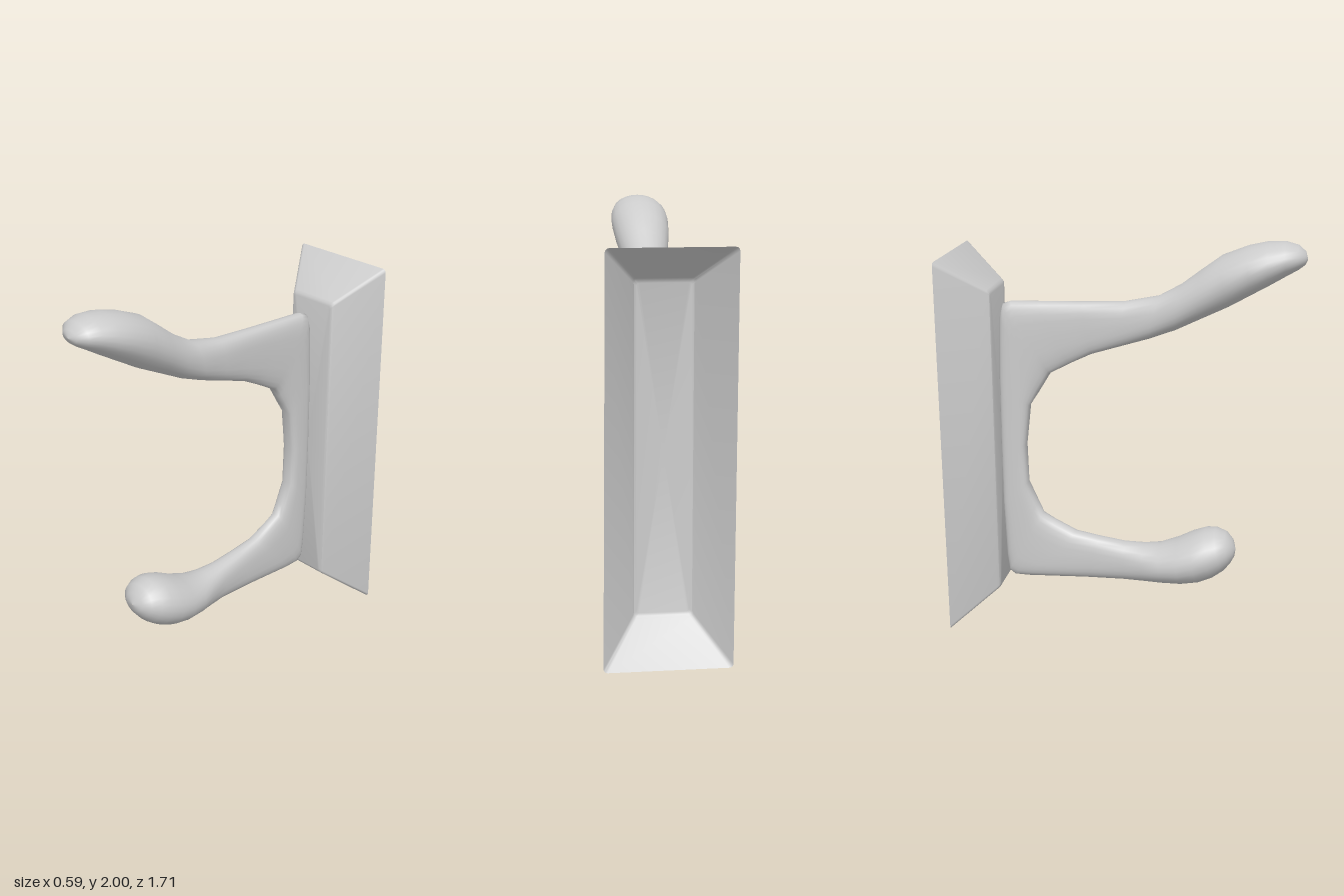
import * as THREE from 'three';
import { toCreasedNormals } from 'three/addons/utils/BufferGeometryUtils.js';

// Joins equal-length rings of [x, y, z] points into an indexed surface
function loft(rings) {
  const n = rings[0].length, index = [];
  for (let i = 0; i < rings.length - 1; i++) {
    for (let j = 0; j < n; j++) {
      const k = (j + 1) % n, a = i * n + j, b = i * n + k;
      index.push(a, b, a + n, b, b + n, a + n);
    }
  }
  const g = new THREE.BufferGeometry();
  g.setAttribute('position', new THREE.Float32BufferAttribute(rings.flat(2), 3));
  g.setIndex(index);
  g.computeVertexNormals();
  return g;
}

// Hook sections: outer z, y, inner z, y, half width, squareness
const UPPER = [
  [0.855, 1.921, 0.855, 1.919, 0.002, 2],
  [0.845, 1.955, 0.845, 1.895, 0.05, 2],
  [0.81, 1.983, 0.815, 1.872, 0.095, 2],
  [0.75, 1.998, 0.765, 1.843, 0.125, 2],
  [0.67, 1.994, 0.69, 1.797, 0.144, 2],
  [0.58, 1.973, 0.61, 1.75, 0.148, 2],
  [0.46, 1.925, 0.5, 1.685, 0.138, 2],
  [0.36, 1.85, 0.37, 1.62, 0.118, 2],
  [0.27, 1.78, 0.25, 1.56, 0.098, 2.1],
  [0.165, 1.72, 0.12, 1.51, 0.076, 2.3],
  [0, 1.685, -0.02, 1.465, 0.06, 2.6],
  [-0.2, 1.675, -0.16, 1.42, 0.052, 3]
];
const SPINE = [
  [-0.42, 1.668, -0.27, 1.365, 0.05, 3],
  [-0.56, 1.664, -0.37, 1.31, 0.05, 3],
  [-0.6, 1.65, -0.4, 1.26, 0.05, 3],
  [-0.615, 1.59, -0.43, 1.21, 0.05, 3],
  [-0.625, 1.3, -0.475, 1.14, 0.05, 3],
  [-0.626, 0.93, -0.5, 0.93, 0.05, 3],
  [-0.625, 0.62, -0.495, 0.73, 0.05, 3],
  [-0.615, 0.32, -0.445, 0.62, 0.05, 3],
  [-0.605, 0.235, -0.42, 0.565, 0.05, 3],
  [-0.575, 0.212, -0.36, 0.53, 0.05, 3],
  [-0.5, 0.212, -0.25, 0.475, 0.052, 3]
];
const LOWER = [
  [-0.2, 0.228, -0.13, 0.453, 0.058, 2.7],
  [0, 0.234, 0, 0.434, 0.07, 2.4],
  [0.1, 0.237, 0.1, 0.43, 0.096, 2.2],
  [0.2, 0.239, 0.18, 0.438, 0.128, 2],
  [0.3, 0.245, 0.27, 0.472, 0.152, 2],
  [0.39, 0.262, 0.34, 0.51, 0.16, 2],
  [0.46, 0.293, 0.41, 0.537, 0.153, 2],
  [0.51, 0.33, 0.46, 0.54, 0.135, 2],
  [0.542, 0.37, 0.51, 0.524, 0.105, 2],
  [0.56, 0.405, 0.545, 0.49, 0.06, 2],
  [0.564, 0.439, 0.564, 0.441, 0.002, 2]
];

const SIDES = 24, HOOK_X = -0.018;
function hookRing([oz, oy, iz, iy, width, power]) {
  const curve = v => Math.sign(v) * Math.abs(v) ** (2 / power);
  return Array.from({ length: SIDES }, (_, j) => {
    const a = (j / SIDES) * Math.PI * 2;
    const c = curve(Math.cos(a)), s = curve(Math.sin(a));
    return [
      HOOK_X + width * s,
      (oy + iy) / 2 + ((oy - iy) / 2) * c,
      (oz + iz) / 2 + ((oz - iz) / 2) * c
    ];
  });
}

// Rectangle with small rounded corners at depth z, counter-clockwise from the front
function plateRing(x0, x1, x1Top, y0, y1, z, r) {
  const corners = [[x1, y0, -1], [x1Top, y1, 0], [x0, y1, 1], [x0, y0, 2]];
  return corners.flatMap(([x, y, quarter]) => {
    const cx = x - Math.sign(x) * r, cy = y === y0 ? y + r : y - r;
    return [0, 1, 2, 3].map(k => {
      const a = (quarter + k / 3) * Math.PI / 2;
      return [cx + r * Math.cos(a), cy + r * Math.sin(a), z];
    });
  });
}

export function createModel() {
  const model = new THREE.Group();
  model.name = 'doubleWallHook';
  const metal = new THREE.MeshStandardMaterial({ color: 0xcccccc });
  metal.name = 'lightGrey';
  const sheet = new THREE.MeshStandardMaterial({ color: 0xcccccc, side: THREE.DoubleSide });
  sheet.name = 'lightGreySheet';

  // Hook with two bulbous arms joined by a thin spine
  const hook = new THREE.Mesh(loft([...UPPER, ...SPINE, ...LOWER].map(hookRing)), metal);
  hook.name = 'hook';
  model.add(hook);

  // Hollow backplate: sloping sides, softened front edge, flat face, open back
  const rings = [
    plateRing(-0.295, 0.292, 0.272, 0, 1.895, -0.855, 0.018),
    plateRing(-0.142, 0.142, 0.138, 0.165, 1.74, -0.645, 0.016),
    plateRing(-0.135, 0.135, 0.131, 0.175, 1.73, -0.634, 0.016),
    plateRing(-0.122, 0.122, 0.118, 0.188, 1.717, -0.63, 0.012)
  ];
  rings.push(rings[3].map(() => [0, 0.95, -0.63]));
  const plate = new THREE.Mesh(toCreasedNormals(loft(rings), 0.65), sheet);
  plate.name = 'backplate';
  model.add(plate);

  return model;
}
